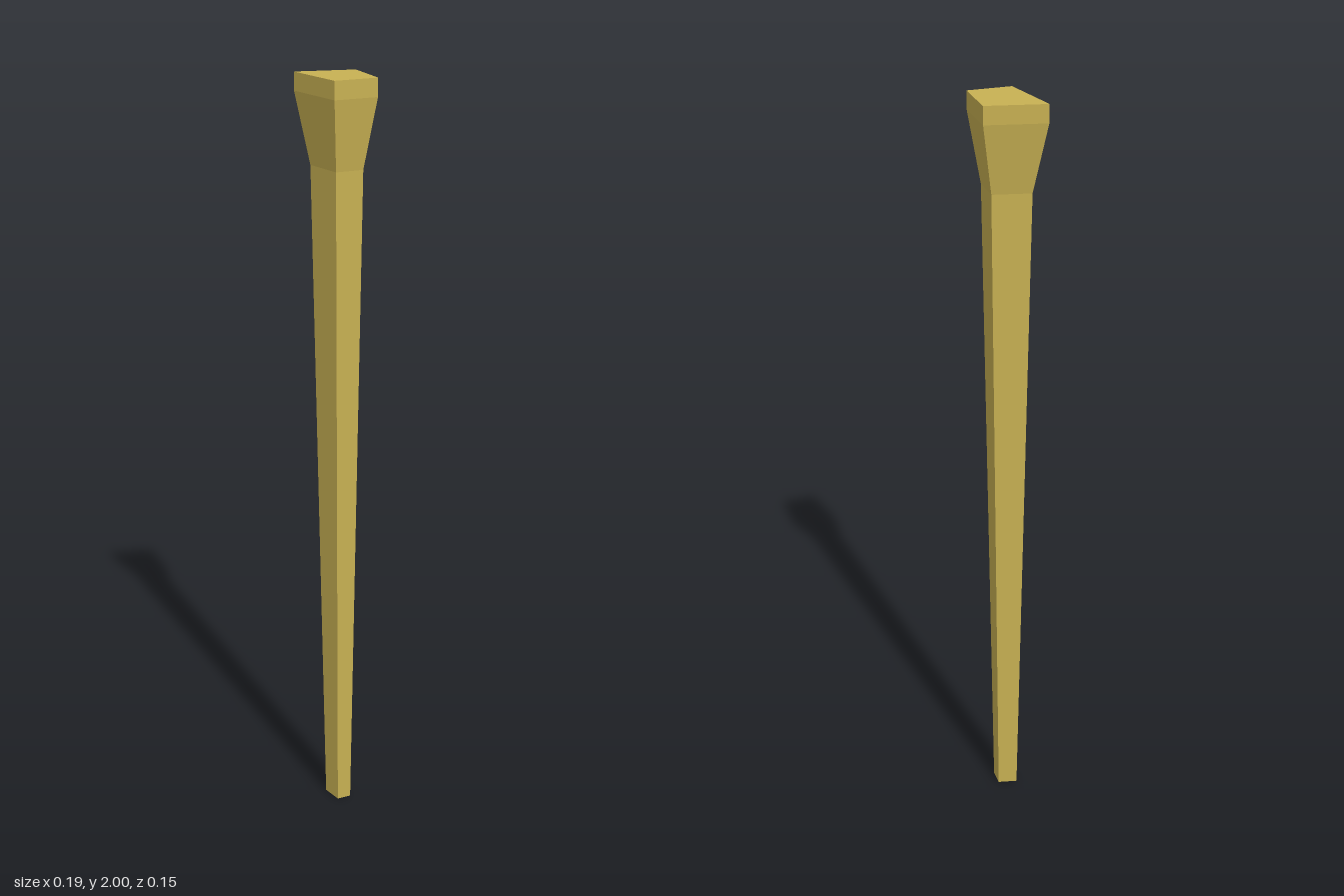
import * as THREE from 'three';

// Irregular four-sided outline of the head, counterclockwise seen from above: [x, z]
const OUTLINE = [[-0.097, -0.06], [-0.01, 0.076], [0.095, 0.04], [0.053, -0.078]];

// Cross-sections from the tip up: height, outline scale, x and z shift
const tip = { y: 0, s: 0.34, dx: 0.006, dz: -0.002 };
const neck = { y: 1.78, s: 0.64, dx: 0.002, dz: 0 };
const shoulder = { y: 1.955, s: 1, dx: 0, dz: 0 };
const top = { y: 2, s: 1, dx: 0, dz: 0 };

const ring = ({ y, s, dx, dz }) => OUTLINE.map(([x, z]) => [x * s + dx, y, z * s + dz]);

// Joins the cross-sections with flat quads, optionally closing either end
function loft(name, sections, capBottom, capTop, material) {
  const rings = sections.map(ring);
  const pos = [];
  const quad = (a, b, c, d) => pos.push(...a, ...b, ...c, ...a, ...c, ...d);
  for (let k = 0; k < rings.length - 1; k++) {
    const lo = rings[k], hi = rings[k + 1];
    for (let i = 0; i < 4; i++) {
      const j = (i + 1) % 4;
      quad(lo[i], lo[j], hi[j], hi[i]);
    }
  }
  if (capBottom) quad(...[...rings[0]].reverse());
  if (capTop) quad(...rings[rings.length - 1]);
  const geometry = new THREE.BufferGeometry();
  geometry.setAttribute('position', new THREE.Float32BufferAttribute(pos, 3));
  geometry.computeVertexNormals();
  const mesh = new THREE.Mesh(geometry, material);
  mesh.name = name;
  return mesh;
}

export function createModel() {
  const group = new THREE.Group();
  group.name = 'taperedStake';
  const material = new THREE.MeshStandardMaterial({ color: 0xc8b153, flatShading: true });
  // Long tapering shaft, open where it meets the head
  group.add(loft('shaft', [tip, neck], true, false, material));
  // Flared head with a short straight rim
  group.add(loft('head', [neck, shoulder, top], false, true, material));
  return group;
}
